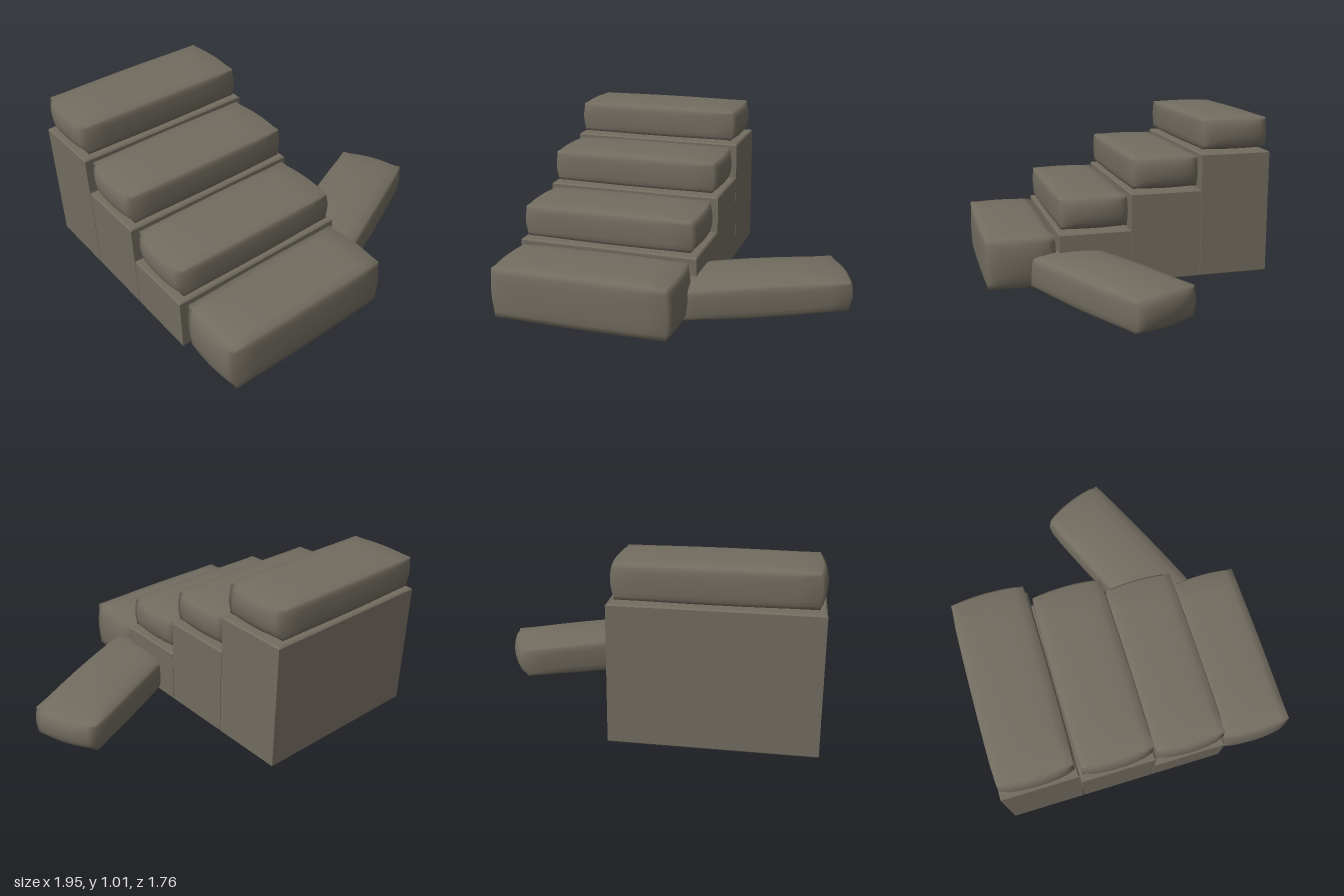
import * as THREE from 'three';
import { mergeVertices } from 'three/addons/utils/BufferGeometryUtils.js';

const stone = new THREE.MeshStandardMaterial({ color: 0x726c60 });
stone.name = 'weathered stone';

// Chamfered block of full size w, h, d. Each face swells at its middle:
// bulge gives how far the face edges sit back along x, y and z.
function blockGeometry(w, h, d, bevel, bulge = [0, 0, 0]) {
  const n = 8;
  const half = [w / 2, h / 2, d / 2];
  let geo = new THREE.BoxGeometry(2, 2, 2, n, n, n);
  geo.deleteAttribute('uv');
  geo.deleteAttribute('normal');
  geo = mergeVertices(geo);
  const pos = geo.attributes.position;
  for (let i = 0; i < pos.count; i++) {
    const p = [pos.getX(i), pos.getY(i), pos.getZ(i)];
    const outer = p.map((v) => Math.abs(v) > 0.999);
    const onEdge = outer.filter(Boolean).length > 1;
    const q = p.map((v, k) => {
      const a = p[(k + 1) % 3], b = p[(k + 2) % 3];
      const reach = half[k] - bulge[k] * Math.min(1, (a * a + b * b) / 2 + 0.25 * Math.max(a * a, b * b));
      // pull edges and corners in to form the chamfer
      return v * (onEdge && outer[k] ? reach - bevel * 0.5 : reach);
    });
    pos.setXYZ(i, ...q);
  }
  geo.computeVertexNormals();
  return geo;
}

function block(name, size, centre, bevel, bulge) {
  const mesh = new THREE.Mesh(blockGeometry(...size, bevel, bulge), stone);
  mesh.name = name;
  mesh.position.set(...centre);
  return mesh;
}

// Plain support with crisp narrow chamfers
function support(name, size, centre) {
  const [w, h, d] = size, c = 0.008;
  const s = new THREE.Shape();
  const x = w / 2 - c, y = d / 2 - c;
  s.moveTo(-x, -y);
  s.lineTo(x, -y);
  s.lineTo(x, y);
  s.lineTo(-x, y);
  s.closePath();
  const geo = new THREE.ExtrudeGeometry(s, {
    depth: h - 2 * c, bevelEnabled: true, bevelThickness: c, bevelSize: c, bevelSegments: 1,
  });
  geo.translate(0, 0, -(h / 2 - c));
  geo.rotateX(-Math.PI / 2);
  const mesh = new THREE.Mesh(geo, stone);
  mesh.name = name;
  mesh.position.set(...centre);
  return mesh;
}

export function createModel() {
  const group = new THREE.Group();
  group.name = 'stone stairs';

  const width = 1.1, cx = -0.45, base = 0.02, depth = 0.437, pitch = 0.441;
  const tops = [0.35, 0.57, 0.79, 1.01];

  tops.forEach((top, i) => {
    const z = 0.662 - i * pitch;
    // Tread slab; the lowest one reaches the ground
    const bottom = i === 0 ? base : top - 0.215;
    group.add(block(`tread${i + 1}`, [width, top - bottom, depth],
      [cx, (top + bottom) / 2, z], 0.012, [0.035, 0.01, 0.01]));
    // Support under each raised tread
    if (i > 0) {
      const h = bottom - 0.006 - base;
      group.add(support(`support${i + 1}`, [width, h, depth], [cx, base + h / 2, z]));
    }
  });

  // Loose slab lying against the side of the stairs
  const fallen = block('fallenSlab', [1.1, 0.25, 0.445], [0.405, 0.127, 0.235], 0.014, [0.045, 0.03, 0.012]);
  fallen.rotation.y = 0.425;
  group.add(fallen);

  return group;
}
